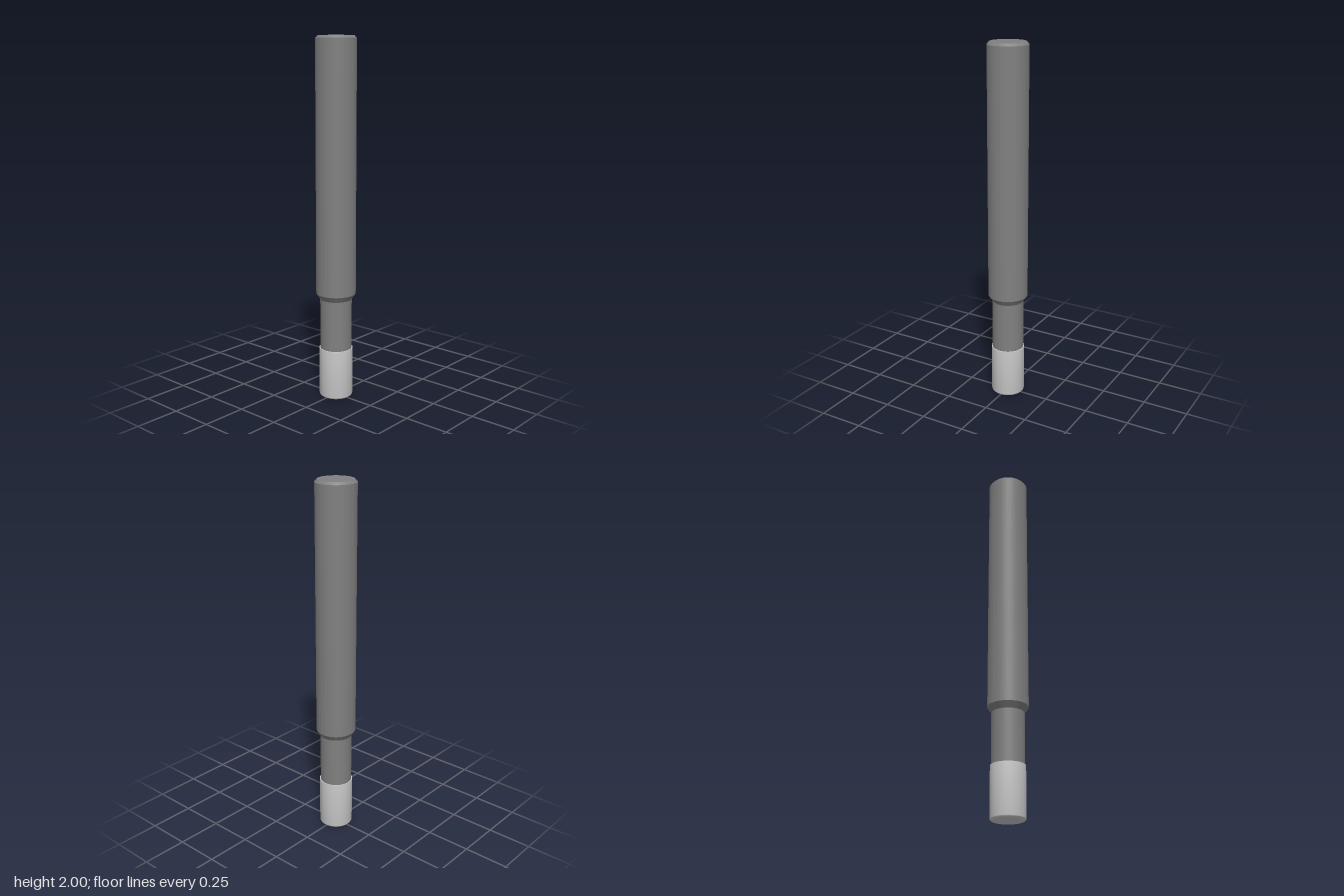
import * as THREE from 'three';
import { toCreasedNormals } from 'three/addons/utils/BufferGeometryUtils.js';

// Revolve a bottom-to-top [radius, y] profile; hard edges stay sharp
function turned(name, profile, color) {
  const points = profile.map(([r, y]) => new THREE.Vector2(r, y));
  const geometry = toCreasedNormals(new THREE.LatheGeometry(points, 96), 0.5);
  const mesh = new THREE.Mesh(geometry, new THREE.MeshStandardMaterial({ color }));
  mesh.name = name;
  return mesh;
}

export function createModel() {
  const group = new THREE.Group();
  group.name = 'endMill';

  // Shank with chamfered top, tapering into a narrower neck
  group.add(turned('shank', [
    [0, 0.28], [0.088, 0.28], [0.088, 0.567],
    [0.11, 0.6], [0.11, 1.986], [0.097, 2], [0, 2],
  ], 0x808080));

  // Cutting head with rounded bottom corner
  const radius = 0.093, corner = 0.015, steps = 6;
  const head = [[0, 0]];
  for (let i = 0; i <= steps; i++) {
    const a = (i / steps) * Math.PI / 2;
    head.push([radius - corner + corner * Math.sin(a), corner - corner * Math.cos(a)]);
  }
  head.push([radius, 0.283], [0, 0.283]);
  group.add(turned('cuttingHead', head, 0xcccccc));

  return group;
}
